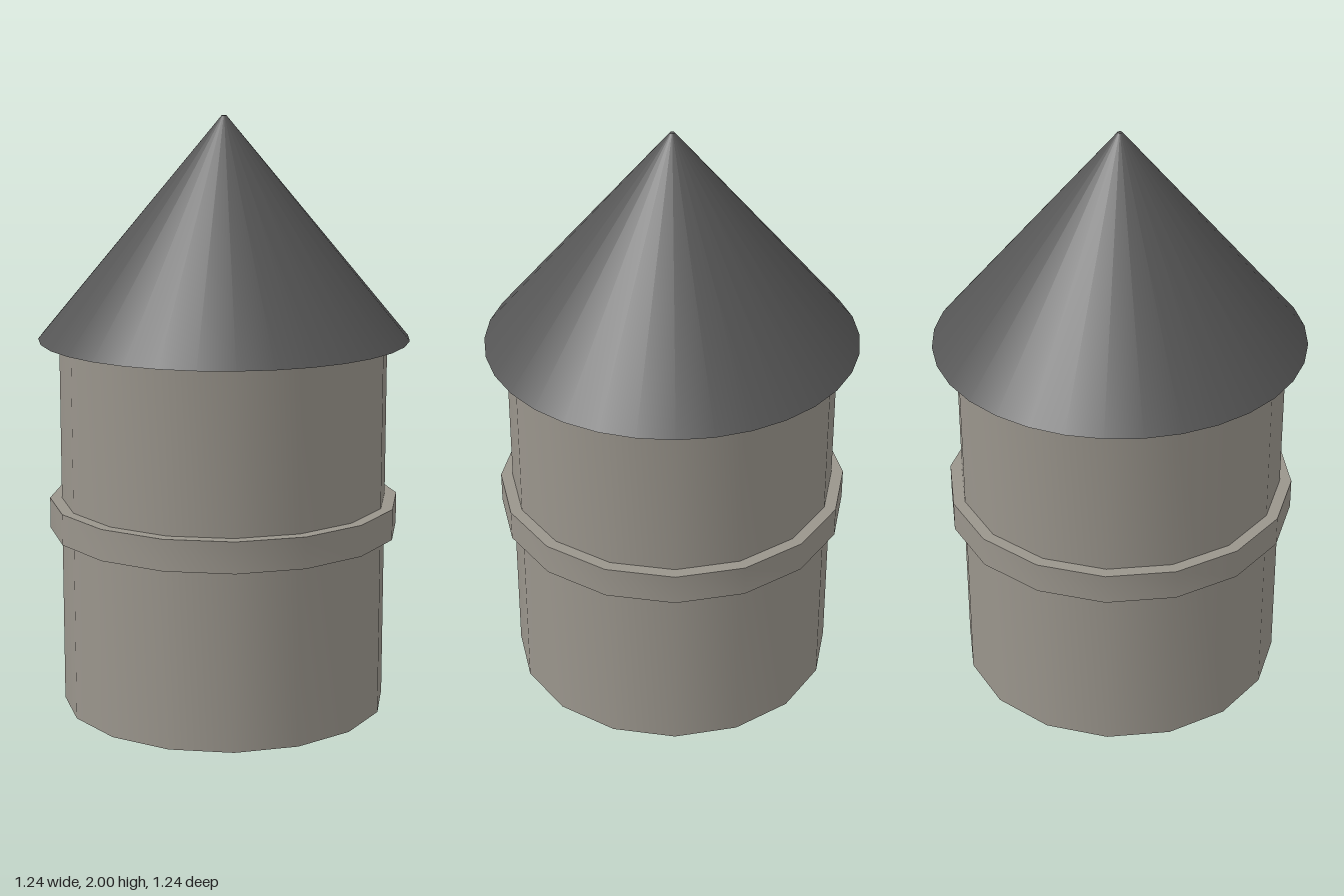
import * as THREE from 'three';
import { toCreasedNormals } from 'three/addons/utils/BufferGeometryUtils.js';

const wallMaterial = new THREE.MeshStandardMaterial({ color: 0x9a958c, side: THREE.DoubleSide });
const roofMaterial = new THREE.MeshStandardMaterial({ color: 0x555555, side: THREE.DoubleSide });

// Turns a [radius, height] profile around y; rounds stay smooth, rims stay sharp
function turned(name, profile, sides, material) {
  const points = profile.map(([r, y]) => new THREE.Vector2(r, y));
  const geometry = toCreasedNormals(new THREE.LatheGeometry(points, sides), Math.PI / 6);
  const mesh = new THREE.Mesh(geometry, material);
  mesh.name = name;
  return mesh;
}

export function createModel() {
  const tower = new THREE.Group();
  tower.name = 'tower';

  // Open tube that runs up under the eaves
  tower.add(turned('wall', [[0.552, 0], [0.552, 1.33]], 16, wallMaterial));

  // Raised ring around the middle, just biting through the wall
  tower.add(turned('band', [
    [0.592, 0.61], [0.592, 0.715], [0.546, 0.715], [0.546, 0.61], [0.592, 0.61],
  ], 16, wallMaterial));

  // Hollow conical roof with a tiny blunt tip
  tower.add(turned('roof', [[0.622, 1.263], [0.008, 2], [0, 2]], 32, roofMaterial));

  return tower;
}
